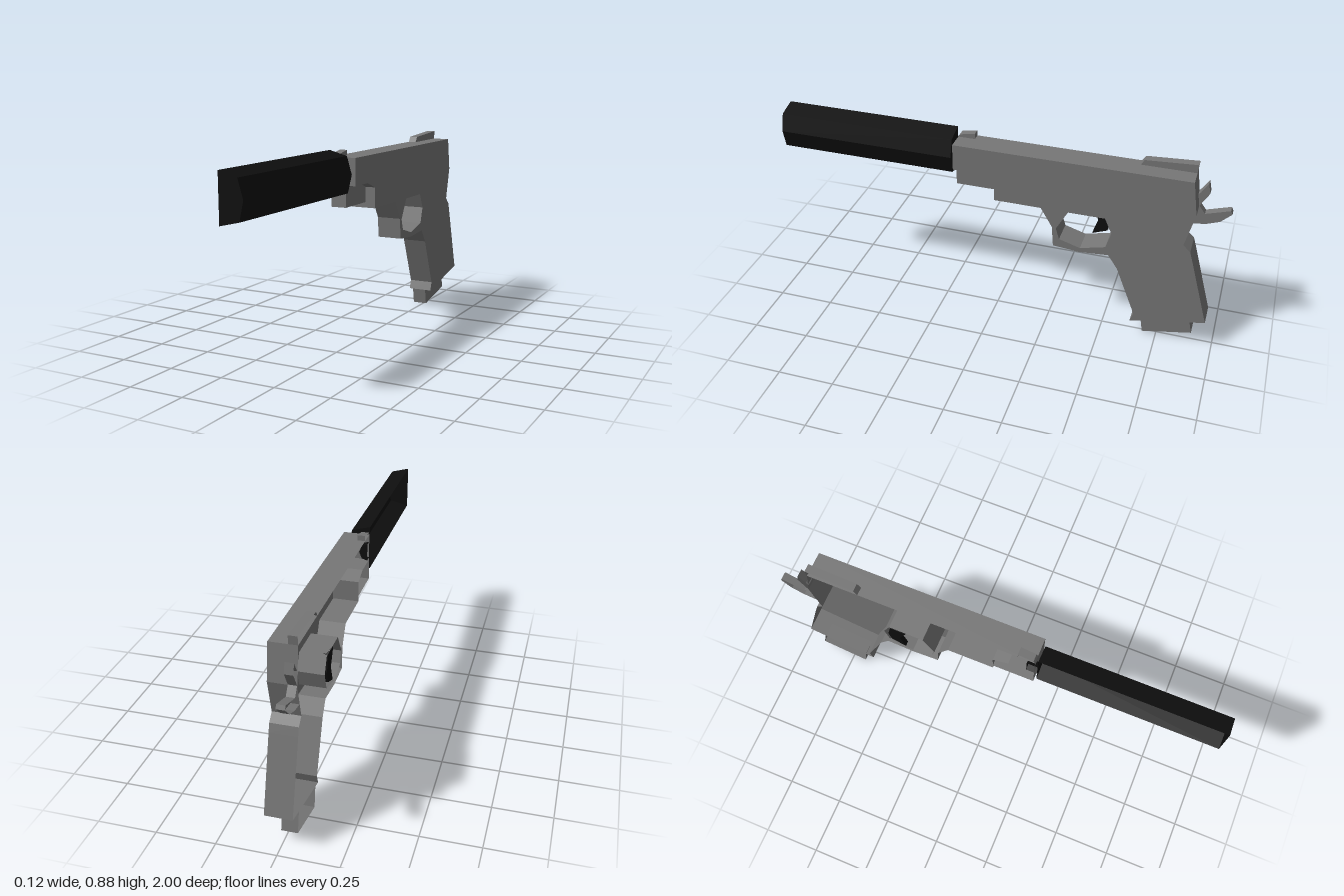
import * as THREE from 'three';

const CUT = -0.055; // open plane of the half shell

// Remove the triangles lying in the cut plane, leaving an open shell
function openAtCut(geo) {
  const p = geo.attributes.position, kept = [];
  for (let i = 0; i < p.count; i += 3) {
    if ([0, 1, 2].every(k => Math.abs(p.getX(i + k) - CUT) < 1e-4)) continue;
    for (let k = 0; k < 3; k++) kept.push(p.getX(i + k), p.getY(i + k), p.getZ(i + k));
  }
  const out = new THREE.BufferGeometry();
  out.setAttribute('position', new THREE.Float32BufferAttribute(kept, 3));
  out.computeVertexNormals();
  return out;
}

// Side profile of [z, y] points, extruded across x
function sideProfile(points, x0, x1, hole) {
  const toV = ([z, y]) => new THREE.Vector2(-z, y);
  const shape = new THREE.Shape(points.map(toV));
  if (hole) shape.holes.push(new THREE.Path(hole.map(toV)));
  const geo = new THREE.ExtrudeGeometry(shape, { depth: x1 - x0, bevelEnabled: false });
  geo.rotateY(Math.PI / 2).translate(x0, 0, 0);
  return openAtCut(geo);
}

// Front profile of [x, y] points, extruded along z
function frontProfile(points, z0, z1) {
  const shape = new THREE.Shape(points.map(([x, y]) => new THREE.Vector2(x, y)));
  const geo = new THREE.ExtrudeGeometry(shape, { depth: z1 - z0, bevelEnabled: false });
  return openAtCut(geo.translate(0, 0, z0));
}

export function createModel() {
  const model = new THREE.Group();
  const steel = new THREE.MeshStandardMaterial({ name: 'grey steel', color: 0x777777, side: THREE.DoubleSide, flatShading: true });
  const black = new THREE.MeshStandardMaterial({ name: 'black metal', color: 0x0e0e0e, side: THREE.DoubleSide, flatShading: true });
  const add = (name, geo, mat) => {
    const mesh = new THREE.Mesh(geo, mat);
    mesh.name = name;
    model.add(mesh);
  };

  // Slide, grip and trigger guard in one outline
  add('body', sideProfile([
    [0.185, 0.84], [0.185, 0.72], [0.07, 0.72], [0, 0.693], [0, 0.6], [-0.21, 0.6],
    [-0.262, 0.513], [-0.27, 0.417], [-0.387, 0.407], [-0.515, 0.417], [-0.558, 0.354],
    [-0.648, 0.126], [-0.634, 0.085], [-0.96, 0.15], [-0.868, 0.47], [-0.857, 0.505],
    [-0.825, 0.535], [-0.862, 0.686], [-0.838, 0.84],
  ], CUT, 0.06, [
    [-0.33, 0.6], [-0.28, 0.508], [-0.296, 0.456], [-0.39, 0.428], [-0.5, 0.456],
    [-0.522, 0.53], [-0.49, 0.6],
  ]), steel);

  // Narrower block under the slide
  add('dustCover', sideProfile([
    [0.185, 0.72], [0.185, 0.625], [0, 0.625], [0, 0.693], [0.07, 0.72],
  ], CUT, 0.014), steel);

  add('magazine', sideProfile([
    [-0.672, 0.095], [-0.688, 0], [-0.905, 0.043], [-0.885, 0.135],
  ], CUT, 0.013), steel);

  // Sights
  add('rearSight', sideProfile([
    [-0.606, 0.84], [-0.622, 0.864], [-0.842, 0.878], [-0.838, 0.84],
  ], CUT, -0.018), steel);
  add('frontSight', sideProfile([
    [0.185, 0.84], [0.178, 0.852], [0.11, 0.864], [0.11, 0.84],
  ], CUT, -0.02), steel);

  // Hammer and tang at the back
  add('hammer', sideProfile([
    [-0.85, 0.74], [-0.862, 0.752], [-0.89, 0.797], [-0.9, 0.752], [-0.87, 0.7], [-0.862, 0.686],
  ], CUT, -0.02), steel);
  add('tang', sideProfile([
    [-0.862, 0.69], [-0.89, 0.653], [-0.992, 0.686], [-1, 0.67], [-0.955, 0.626], [-0.9, 0.605], [-0.842, 0.596],
  ], CUT, -0.02), steel);

  add('trigger', sideProfile([
    [-0.41, 0.6], [-0.445, 0.525], [-0.422, 0.452], [-0.488, 0.478], [-0.5, 0.53], [-0.484, 0.6],
  ], -0.058, -0.035), black);

  // Barrel stub and faceted suppressor
  add('barrel', frontProfile([
    [CUT, 0.73], [-0.03, 0.737], [-0.018, 0.768], [-0.03, 0.798], [CUT, 0.806],
  ], 0.15, 0.2), black);
  add('suppressor', frontProfile([
    [CUT, 0.67], [0.031, 0.69], [0.05, 0.77], [0.027, 0.848], [CUT, 0.87],
  ], 0.198, 1), black);

  return model;
}
